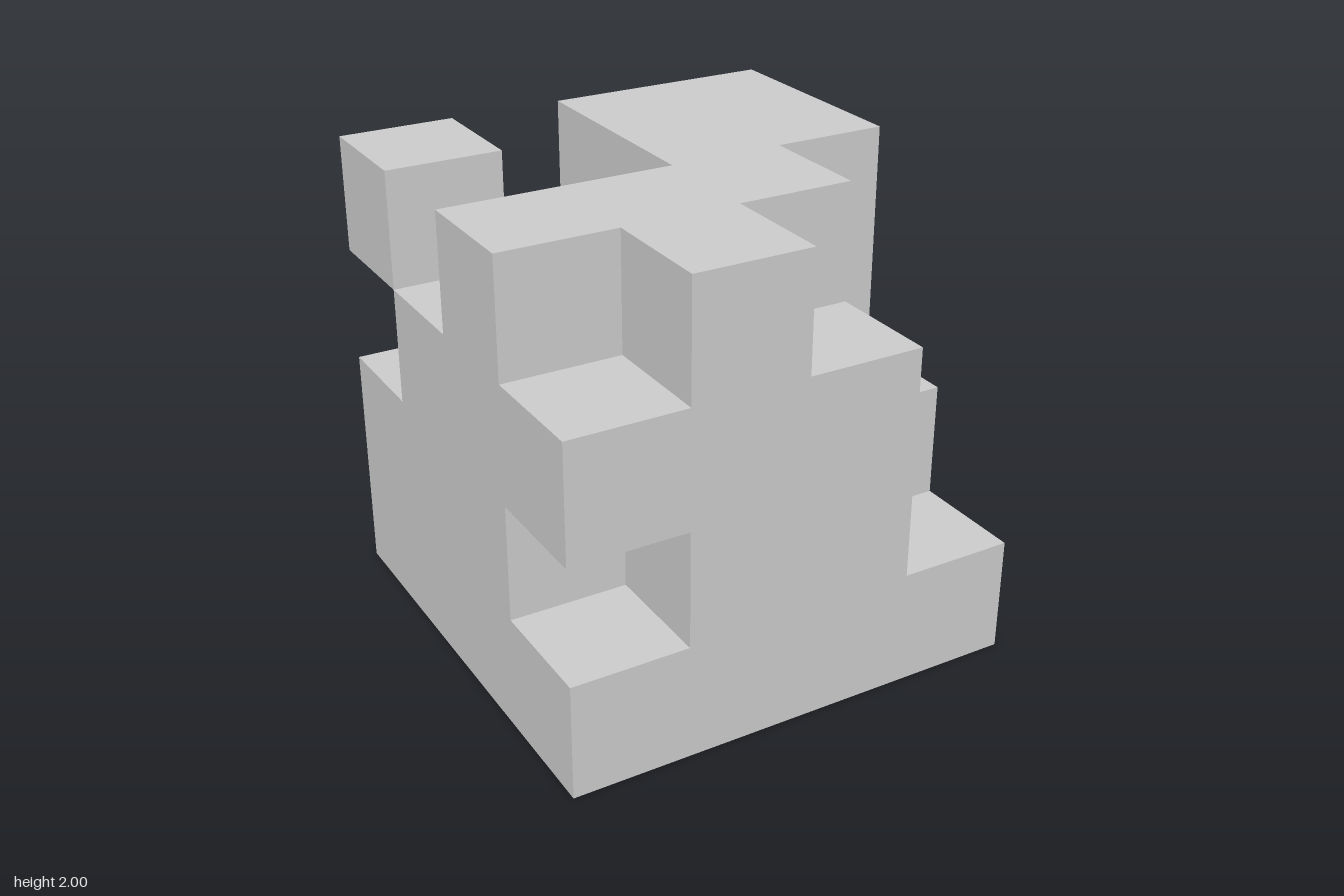
import * as THREE from 'three';
import { mergeGeometries } from 'three/addons/utils/BufferGeometryUtils.js';

const CELL = 0.5;

// Layers from bottom to top; each row runs left to right along x, rows from front (+z) to back.
const LAYERS = [
  ['####', '##.#', '##..', '#.##'],
  ['.##.', '#..#', '#...', '##..'],
  ['###.', '#...', '#.##', '.#..'],
  ['.#..', '###.', '..##', '#.##'],
];
const NAMES = ['baseLayer', 'lowerLayer', 'upperLayer', 'topLayer'];

const filled = (x, y, z) => LAYERS[y]?.[z]?.[x] === '#';

// Six face directions in grid steps (the grid's z step points to the back)
const SIDES = [
  [1, 0, 0], [-1, 0, 0], [0, 1, 0], [0, -1, 0], [0, 0, 1], [0, 0, -1],
];

// One square face of a cell, turned to look outwards
function face(x, y, z, [dx, dy, dz]) {
  const g = new THREE.PlaneGeometry(CELL, CELL);
  if (dx) g.rotateY(dx * Math.PI / 2);
  else if (dy) g.rotateX(-dy * Math.PI / 2);
  else if (dz > 0) g.rotateY(Math.PI);
  return g.translate(
    (x - 1.5 + dx / 2) * CELL,
    (y + 0.5 + dy / 2) * CELL,
    (1.5 - z - dz / 2) * CELL,
  );
}

export function createModel() {
  const model = new THREE.Group();
  model.name = 'blockPuzzle';
  const material = new THREE.MeshStandardMaterial({ color: 0xcccccc, flatShading: true });

  // Each layer is the outer skin of its filled cells
  LAYERS.forEach((rows, y) => {
    const faces = [];
    for (let z = 0; z < 4; z++) {
      for (let x = 0; x < 4; x++) {
        if (!filled(x, y, z)) continue;
        for (const d of SIDES) {
          if (!filled(x + d[0], y + d[1], z + d[2])) faces.push(face(x, y, z, d));
        }
      }
    }
    const mesh = new THREE.Mesh(mergeGeometries(faces), material);
    mesh.name = NAMES[y];
    model.add(mesh);
  });
  return model;
}
